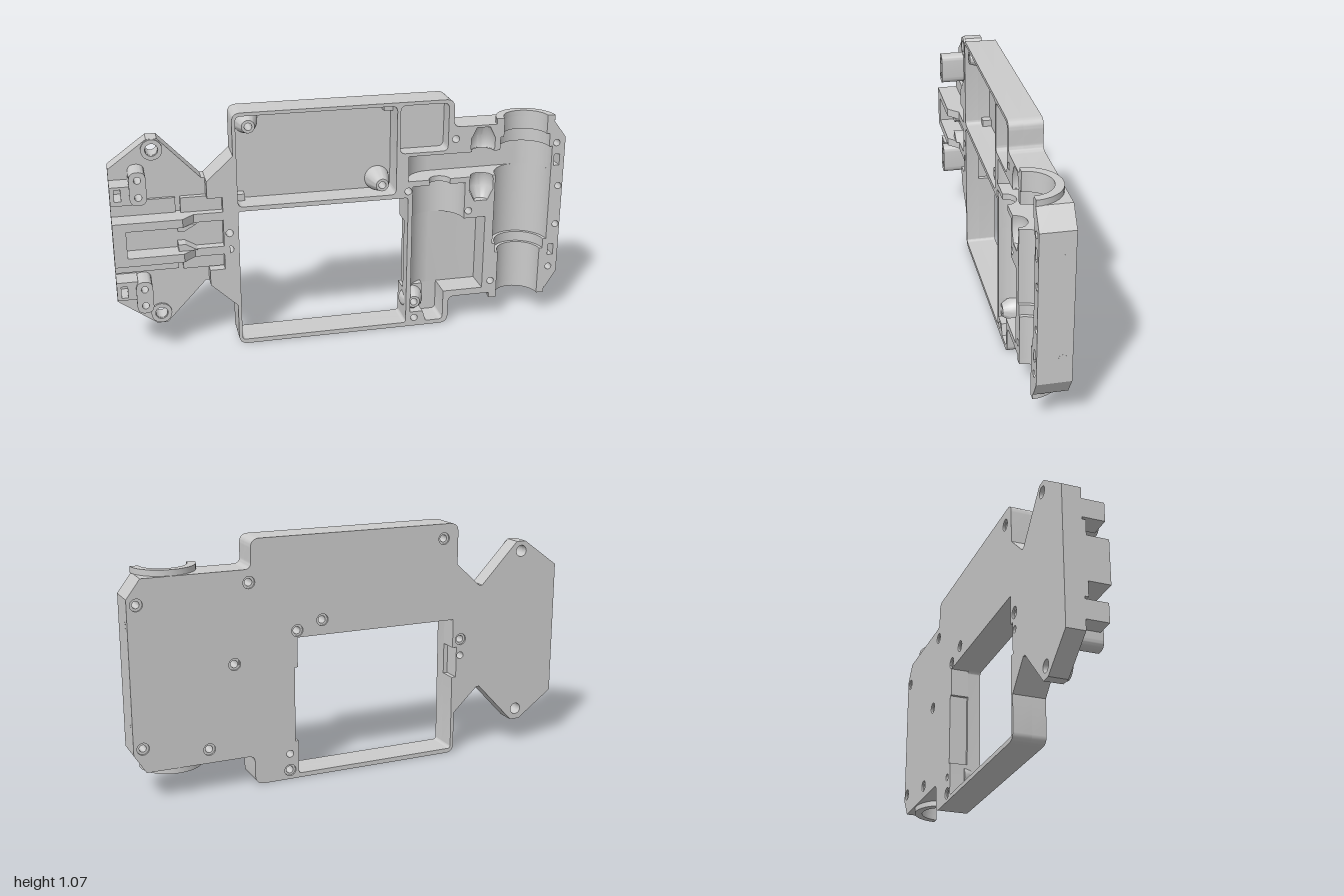
import * as THREE from 'three';
import { toCreasedNormals } from 'three/addons/utils/BufferGeometryUtils.js';

const BACK = -0.095, FLOOR = -0.087, MID = -0.015, TOP = 0.045, PEAK = 0.093;
const material = new THREE.MeshStandardMaterial({ color: 0xcccccc, side: THREE.DoubleSide });

// closed outline from [x, y, cornerRadius]
function trace(target, pts) {
  const n = pts.length;
  pts.forEach(([x, y, r = 0], i) => {
    const toward = ([px, py]) => {
      const d = Math.hypot(px - x, py - y);
      return [x + (px - x) * r / d, y + (py - y) * r / d];
    };
    const a = toward(pts[(i + n - 1) % n]), b = toward(pts[(i + 1) % n]);
    if (i) target.lineTo(...a); else target.moveTo(...a);
    if (r) target.quadraticCurveTo(x, y, ...b);
  });
  target.closePath();
  return target;
}
const rect = (x0, y0, x1, y1, r = 0) => [[x0, y0, r], [x1, y0, r], [x1, y1, r], [x0, y1, r]];
const pathHole = pts => trace(new THREE.Path(), pts);
const drill = (list, r) => list.map(([x, y]) => new THREE.Path().absarc(x, y, r, 0, Math.PI * 2, true));

export function createModel() {
  const model = new THREE.Group();

  function add(name, geometry) {
    const mesh = new THREE.Mesh(toCreasedNormals(geometry, 0.5), material);
    mesh.name = name;
    model.add(mesh);
    return mesh;
  }
  // slab parallel to the back face
  function plate(name, pts, z0, z1, holes = []) {
    const shape = trace(new THREE.Shape(), pts);
    shape.holes.push(...holes);
    const g = new THREE.ExtrudeGeometry(shape, { depth: z1 - z0, bevelEnabled: false, curveSegments: 10 });
    return add(name, g.translate(0, 0, z0));
  }
  // section in x and z, swept along y
  function sweep(name, pts, y0, y1) {
    const shape = new THREE.Shape(pts.map(([x, z]) => new THREE.Vector2(x, -z)));
    const g = new THREE.ExtrudeGeometry(shape, { depth: y1 - y0, bevelEnabled: false });
    return add(name, g.rotateX(-Math.PI / 2).translate(0, y0, 0));
  }
  // lower arc points, angles measured in half turns from the left rim
  const arc = (cx, r, from, to, n = 20) => Array.from({ length: n + 1 }, (_, i) => {
    const a = Math.PI * (from + (to - from) * i / n);
    return [cx - r * Math.cos(a), TOP - r * Math.sin(a)];
  });
  const cradle = (name, cx, r, y0, y1) =>
    sweep(name, [...arc(cx, r, 0, 1), [cx + r, FLOOR - 0.002], [cx - r, FLOOR - 0.002]], y0, y1);

  // Main body, back plate
  const screws = [[0.49, 0.885], [0.56, 0.545], [0.68, 0.19], [0.28, 0.66], [0.32, 0.04], [-0.51, 0.535]];
  const endScrews = [[0.96, 0.835], [0.96, 0.235]];
  const bossScrews = [[-0.415, 1.0], [0.165, 0.695], [0.32, 0.115]];
  const leftEdge = [[0.48, 1.065, 0.04], [-0.485, 1.065, 0.04], [-0.485, 0.88], [-0.6, 0.775]];
  const lowerEdge = [[-0.6, 0.3], [-0.485, 0.19], [-0.485, 0, 0.04], [0.48, 0, 0.04], [0.48, 0.13, 0.03]];
  const frameWindow = rect(-0.47, 0.02, 0.28, 0.63, 0.015);
  const notchedWindow = [[-0.47, 0.02, 0.015], [0.28, 0.02, 0.015], [0.28, 0.17], [0.294, 0.17], [0.294, 0.5],
    [0.28, 0.5], [0.28, 0.63], [-0.47, 0.63], [-0.47, 0.5], [-0.49, 0.5], [-0.49, 0.36], [-0.47, 0.36]];
  plate('backPlate', [...leftEdge, ...lowerEdge, [0.95, 0.13], [1, 0.21], [1, 0.86], [0.94, 0.94], [0.48, 0.94, 0.03]],
    BACK, FLOOR, [pathHole(notchedWindow), ...drill([...screws, ...endScrews, ...bossScrews.slice(0, 2)], 0.026),
      ...drill([bossScrews[2], [-0.51, 0.46]], 0.016)]);

  // Main body, walls around the cavities
  const cavityEdge = [[0.71, 0.13], [0.71, 0.33], [0.695, 0.33], [0.695, 0.375], [0.68, 0.375], [0.68, 0.705],
    [0.665, 0.705], [0.67, 0.69], [0.67, 0.64], [0.645, 0.59], [0.585, 0.59], [0.56, 0.64], [0.56, 0.69], [0.565, 0.705],
    [0.47, 0.705], [0.47, 0.68], [0.54, 0.68], [0.54, 0.51], [0.64, 0.51], [0.64, 0.16], [0.455, 0.16],
    [0.455, 0.02, 0.02], [0.375, 0.02], [0.36, 0.07], [0.30, 0.07], [0.30, 0.68], [0.375, 0.68], [0.375, 0.705],
    [0.28, 0.705], [0.28, 0.82], [0.565, 0.82], [0.56, 0.835], [0.56, 0.88], [0.585, 0.93], [0.645, 0.93],
    [0.67, 0.88], [0.67, 0.835], [0.665, 0.82], [0.695, 0.82], [0.695, 0.88], [0.71, 0.88], [0.71, 0.94], [0.48, 0.94, 0.03]];
  const tailNotch = [[-0.6, 0.7], [-0.535, 0.7], [-0.535, 0.37], [-0.6, 0.37]];
  const batteryBay = rect(-0.47, 0.65, 0.225, 1.05, 0.025), sideBay = rect(0.24, 0.835, 0.455, 1.05, 0.025);
  for (const [z0, z1, opening, notch] of [[FLOOR, MID, notchedWindow, []], [MID, TOP, frameWindow, tailNotch]]) {
    plate('bodyWall', [...leftEdge, ...notch, ...lowerEdge, ...cavityEdge], z0, z1,
      [opening, batteryBay, sideBay].map(pathHole).concat(drill([...screws, [-0.51, 0.46]], 0.016)));
    plate('sideRail', [[0.91, 0.13], [0.95, 0.13], [1, 0.21], [1, 0.86], [0.94, 0.94], [0.91, 0.94], [0.91, 0.88],
      [0.925, 0.88], [0.925, 0.82], [0.94, 0.82], [0.94, 0.375], [0.925, 0.375], [0.925, 0.33], [0.91, 0.33]], z0, z1,
    [...[0.32, 0.755].map(y => pathHole(rect(0.952, y - 0.026, 0.978, y + 0.026))),
      ...drill([...endScrews, [0.98, 0.63], [0.98, 0.445]], 0.015)]);
  }

  // Bay floors and corner pads
  plate('batteryFloor', batteryBay, FLOOR, -0.07, drill(bossScrews.slice(0, 2), 0.016));
  plate('sideBayFloor', sideBay, FLOOR, -0.03);
  plate('cornerPad', rect(-0.47, 0.65, -0.43, 0.68), -0.07, -0.03);
  plate('cornerPad', rect(0.185, 1.01, 0.225, 1.05), -0.07, -0.03);
  plate('bossFloor', rect(0.3, 0.07, 0.375, 0.175), FLOOR, -0.03, drill([bossScrews[2]], 0.016));
  plate('wireFloor', rect(0.36, 0.02, 0.455, 0.16), FLOOR, -0.075);

  // Conical screw bosses
  for (const [i, [x, y]] of bossScrews.entries()) {
    const base = i < 2 ? -0.07 : -0.03;
    const profile = [[0.016, base], [0.055, base], [0.05, base + 0.03], [0.028, 0.035], [0.016, 0.035], [0.016, base]];
    const g = new THREE.LatheGeometry(profile.map(p => new THREE.Vector2(...p)), 32);
    add('screwBoss', g.rotateX(Math.PI / 2)).position.set(x, y, 0);
  }

  // Motor, gear and axle cavities
  cradle('motorCradle', 0.42, 0.12, 0.51, 0.68);
  cradle('motorNeck', 0.4225, 0.0475, 0.68, 0.705);
  sweep('motorBay', [...arc(0.42, 0.12, 0, 0.5), [0.64, -0.075], [0.64, FLOOR], [0.3, FLOOR]], 0.16, 0.51);
  sweep('gearTrough', [...arc(0.405, 0.125, 0, 0.5), ...arc(0.81, 0.13, 0.5, 1), [0.94, -0.089], [0.28, -0.089]], 0.705, 0.82);
  for (const [y0, y1, r] of [[0.13, 0.33, 0.1], [0.33, 0.375, 0.115], [0.375, 0.705, 0.13], [0.82, 0.88, 0.115], [0.88, 0.94, 0.1]])
    cradle('axleCradle', 0.81, r, y0, y1);
  for (const y of [0.105, 0.94])
    sweep('axleCollar', [...arc(0.81, 0.135, 0, 1), ...arc(0.81, 0.1, 1, 0)], y, y + 0.025);
  for (const [mouth, s] of [[0.705, -1], [0.82, 1]]) {
    const profile = [[0.05, 0], [0.055, 0.015], [0.055, 0.06], [0.03, 0.112], [0, 0.112]]
      .map(([r, d]) => new THREE.Vector2(r, mouth + s * d));
    add('pivotSocket', new THREE.LatheGeometry(profile, 24, Math.PI / 2, Math.PI)).position.set(0.615, 0, TOP);
    cradle('socketMouth', 0.615, 0.05, Math.min(mouth, mouth + s * 0.004), Math.max(mouth, mouth + s * 0.004));
  }

  // Pin seats on the end face
  for (const y of [0.32, 0.75])
    add('pinSeat', new THREE.CylinderGeometry(0.016, 0.016, 0.01, 20).rotateZ(Math.PI / 2)).position.set(0.9955, y, -0.055);

  // Tail plate
  const tail = [[-1, 0.235], [-0.835, 0.115], [-0.79, 0.115], [-0.615, 0.3], [-0.6, 0.3], [-0.6, 0.775], [-0.615, 0.775],
    [-0.79, 0.96], [-0.835, 0.96], [-1, 0.84]];
  const tailScrews = [[-0.815, 0.915], [-0.815, 0.165]];
  plate('tailBack', tail, BACK, -0.06, drill(tailScrews, 0.026));
  plate('tailFront', tail, -0.06, MID, drill(tailScrews, 0.026));
  for (const [x, y] of tailScrews) {
    const ring = new THREE.Shape().absarc(x, y, 0.045, 0, Math.PI * 2);
    ring.holes.push(...drill([[x, y]], 0.027));
    add('screwRing', new THREE.ExtrudeGeometry(ring, { depth: 0.01, bevelEnabled: false }).translate(0, 0, MID));
  }

  // Mirrored tail details
  const rail = [[-1, MID], [-1, PEAK], [-0.71, PEAK], [-0.66, TOP], [-0.51, TOP], [-0.51, MID]];
  for (const s of [-1, 1]) {
    const y = d => 0.5375 + s * d;
    const box = (name, x0, x1, d0, d1, z1, holes) =>
      plate(name, rect(x0, Math.min(y(d0), y(d1)), x1, Math.max(y(d0), y(d1))), MID, z1, holes);
    plate('tailPost', rect(-0.92, Math.min(y(0.173), y(0.318)), -0.85, Math.max(y(0.173), y(0.318)), 0.034), MID, PEAK,
      drill([[-0.885, y(0.208)], [-0.885, y(0.283)]], 0.015));
    box('postBlock', -1, -0.91, 0.173, 0.255, 0.08,
      [pathHole(rect(-0.982, y(0.218) - 0.026, -0.955, y(0.218) + 0.026))]);
    box('groove', -1, -0.73, 0.097, 0.163, 0);
    box('groove', -0.71, -0.51, 0.097, 0.163, 0.01);
    sweep('tailRail', rail, Math.min(y(0.06), y(0.097)), Math.max(y(0.06), y(0.097)));
    // slanted brace inside the recess
    plate('brace', [[-0.73, y(0.06)], [-0.73, y(0.03)], [-0.7, y(0.03)], [-0.65, y(0.06)]], MID, 0.06);
  }
  plate('tailEndWall', rect(-1, 0.47, -0.945, 0.605), MID, PEAK);
  plate('recessFloor', rect(-0.945, 0.47, -0.535, 0.605), MID, 0.005);
  return model;
}
